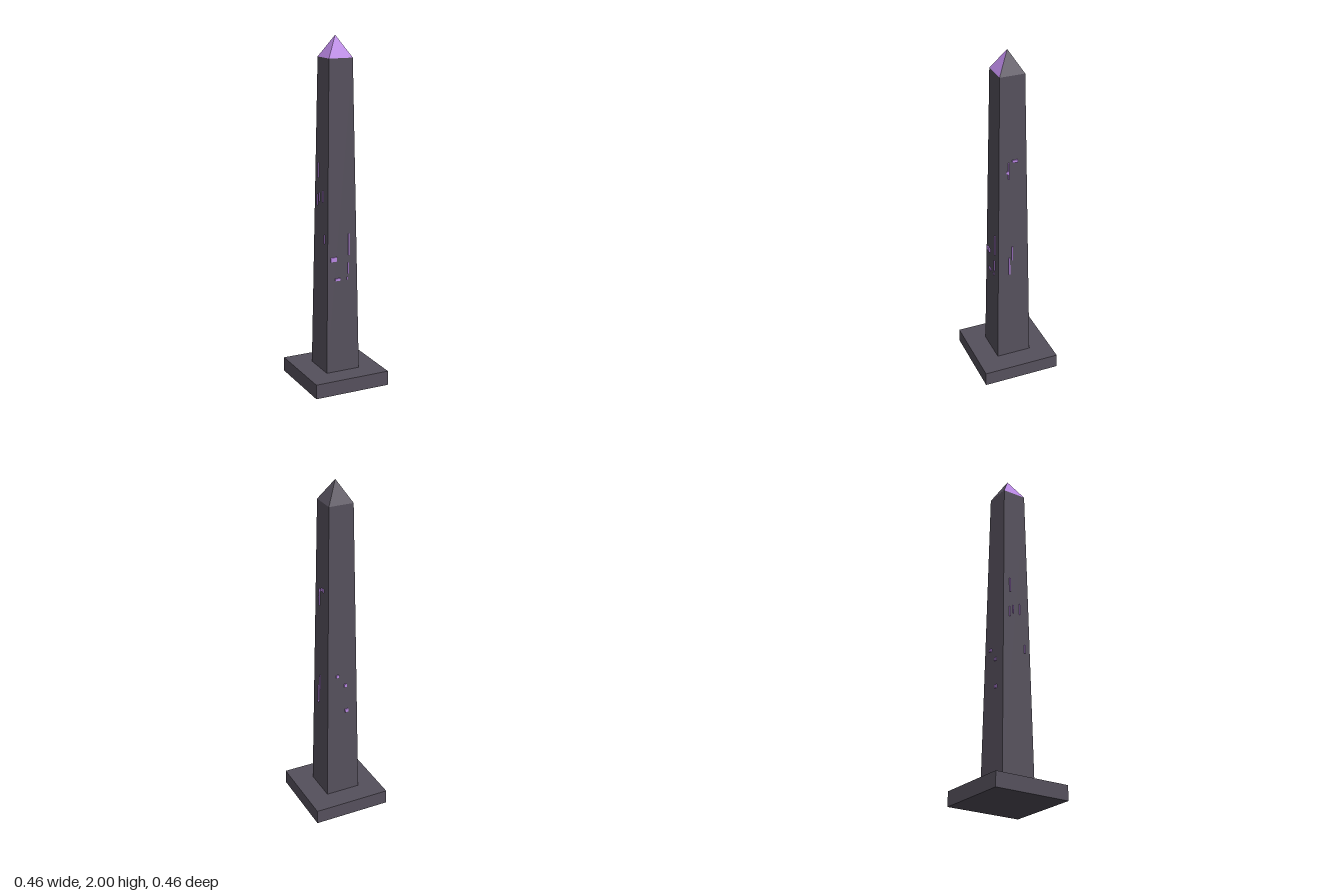
import * as THREE from 'three';

const BASE_TOP = 0.085, SHAFT_TOP = 1.88, APEX = 2;
const HALF_BOTTOM = 0.103, HALF_TOP = 0.072;

export function createModel() {
  const group = new THREE.Group();
  const stone = new THREE.MeshStandardMaterial({ color: 0x55505c, flatShading: true });
  stone.name = 'dark stone';
  const violet = new THREE.MeshStandardMaterial({ color: 0xb886e2, flatShading: true });
  violet.name = 'violet';

  const add = (name, geometry, material, parent = group) => {
    const mesh = new THREE.Mesh(geometry, material);
    mesh.name = name;
    parent.add(mesh);
    return mesh;
  };

  // Square plinth
  add('plinth', new THREE.BoxGeometry(0.457, BASE_TOP, 0.457), stone).position.y = BASE_TOP / 2;

  // Tapered four-sided shaft
  const height = SHAFT_TOP - BASE_TOP;
  const shaft = new THREE.CylinderGeometry(HALF_TOP * Math.SQRT2, HALF_BOTTOM * Math.SQRT2, height, 4);
  shaft.rotateY(Math.PI / 4);
  add('shaft', shaft, stone).position.y = BASE_TOP + height / 2;

  // Pyramid cap, one face per side: front, left, back, right
  const capHeight = APEX - SHAFT_TOP;
  [['capFront', violet], ['capLeft', stone], ['capBack', stone], ['capRight', violet]].forEach(([name, mat], i) => {
    const face = new THREE.ConeGeometry(HALF_TOP * Math.SQRT2, capHeight, 1, 1, true,
      (i - 0.5) * Math.PI / 2, Math.PI / 2);
    add(name, face, mat).position.y = SHAFT_TOP + capHeight / 2;
  });

  // Raised marks on each side: [centre across, centre height, width, height]
  const marks = {
    front: [
      [-0.055, 0.758, 0.04, 0.025], [0.04, 0.837, 0.008, 0.125], [0.036, 0.698, 0.008, 0.065],
      [-0.03, 0.638, 0.03, 0.014], [0.03, 0.639, 0.006, 0.014],
    ],
    left: [
      [0.012, 1.383, 0.031, 0.016], [-0.025, 1.328, 0.006, 0.1], [-0.033, 1.318, 0.012, 0.018],
      [-0.008, 0.797, 0.006, 0.09], [-0.026, 0.714, 0.009, 0.11],
    ],
    back: [
      [-0.032, 0.87, 0.017, 0.016], [0.018, 0.8, 0.016, 0.018], [0.025, 0.635, 0.02, 0.02],
    ],
    right: [
      [-0.041, 1.25, 0.007, 0.085], [0.023, 1.11, 0.005, 0.065],
      [-0.046, 1.08, 0.006, 0.06], [-0.021, 1.1, 0.005, 0.05], [0.053, 0.87, 0.006, 0.05],
    ],
  };
  const slope = (HALF_BOTTOM - HALF_TOP) / height;
  Object.entries(marks).forEach(([side, list], i) => {
    const sideGroup = new THREE.Group();
    sideGroup.name = side + 'Marks';
    sideGroup.rotation.y = i * Math.PI / 2;
    group.add(sideGroup);
    for (const [u, y, w, h] of list) {
      const mark = add('mark', new THREE.BoxGeometry(w, h, 0.009), violet, sideGroup);
      mark.position.set(u, y, HALF_BOTTOM - slope * (y - BASE_TOP) + 0.002);
      mark.rotation.x = -Math.atan(slope);
    }
  });

  return group;
}
